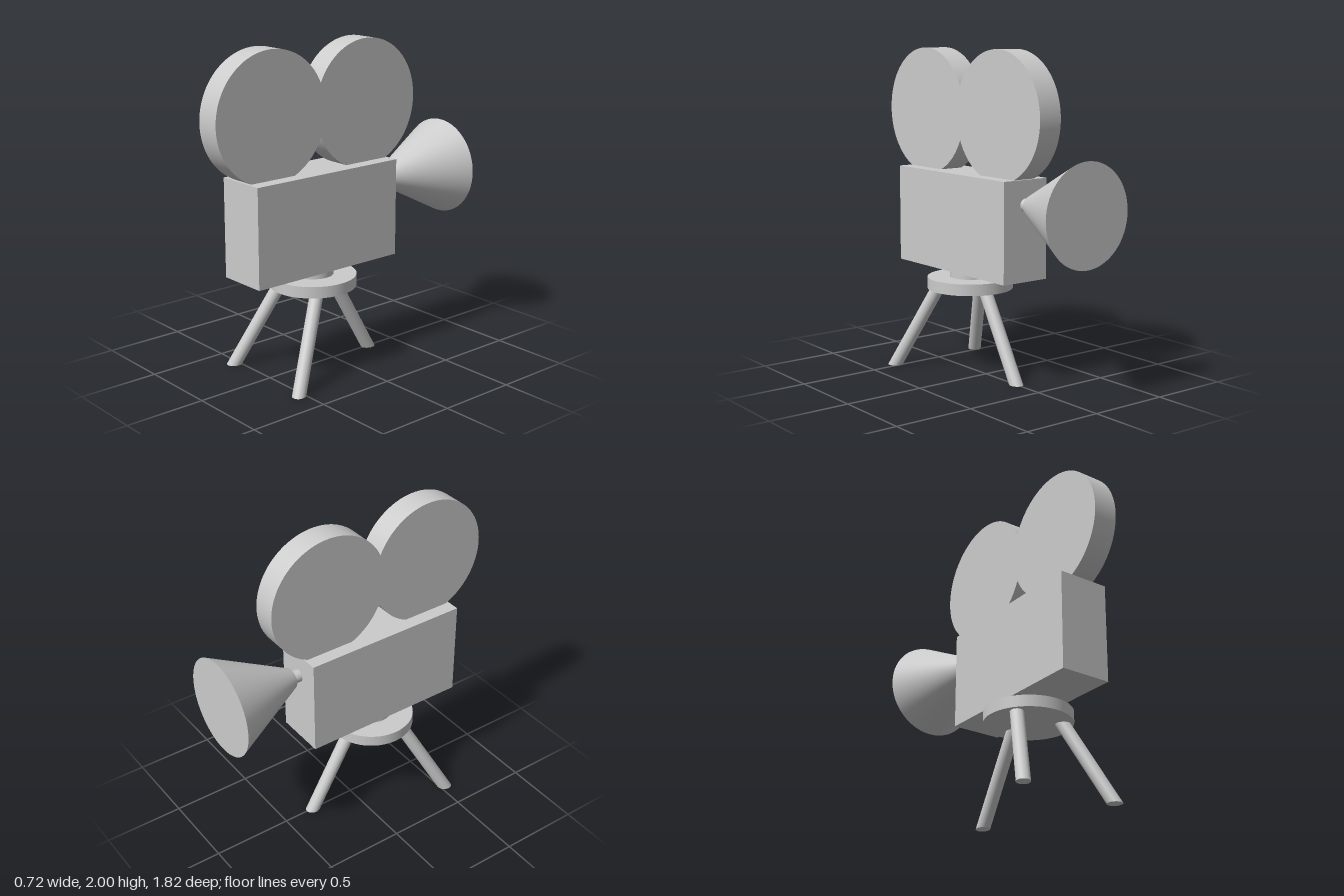
import * as THREE from 'three';
import { toCreasedNormals } from 'three/addons/utils/BufferGeometryUtils.js';

const CENTER_Z = 0.16; // tripod and body axis

export function createModel() {
  const model = new THREE.Group();
  model.name = 'movieCamera';
  const material = new THREE.MeshStandardMaterial({ color: 0xcccccc });

  const add = (name, geometry, x, y, z) => {
    const mesh = new THREE.Mesh(geometry, material);
    mesh.name = name;
    mesh.position.set(x, y, z);
    model.add(mesh);
    return mesh;
  };

  // Body box
  add('body', new THREE.BoxGeometry(0.322, 0.607, 1.066), 0, 0.9455, CENTER_Z - 0.001);

  // Film magazine: two overlapping reels as a single outline
  const r = 0.392, d = 0.357, a = Math.acos(d / r);
  const outline = new THREE.Shape();
  outline.absarc(d, 0, r, a - Math.PI, Math.PI - a, false);
  outline.absarc(-d, 0, r, a, 2 * Math.PI - a, false);
  const reels = new THREE.ExtrudeGeometry(outline, { depth: 0.154, bevelEnabled: false, curveSegments: 64 });
  reels.translate(0, 0, -0.077);
  reels.rotateY(-Math.PI / 2);
  add('filmReels', toCreasedNormals(reels, 0.5), 0, 1.608, CENTER_Z - 0.002);

  // Lens: short barrel and flared hood at the back end
  const lensPart = (name, rNear, rFar, zNear, zFar) => {
    const geometry = new THREE.CylinderGeometry(rNear, rFar, zNear - zFar, 64);
    geometry.rotateX(Math.PI / 2);
    add(name, geometry, 0, 1.1, (zNear + zFar) / 2);
  };
  lensPart('lensBarrel', 0.039, 0.039, -0.36, -0.43);
  lensPart('lensHood', 0.061, 0.304, -0.424, -0.909);

  // Tripod head
  add('tripodNeck', new THREE.CylinderGeometry(0.126, 0.126, 0.055, 64), 0, 0.616, CENTER_Z);
  add('tripodPlate', new THREE.CylinderGeometry(0.266, 0.266, 0.071, 64), 0, 0.5585, CENTER_Z);

  // Tripod legs: sheared cylinders, so that the feet are cut level with the floor
  const legHeight = 0.54, slope = Math.tan(Math.PI / 6);
  const addLeg = (name, angle, footX, footZ) => {
    const geometry = new THREE.CylinderGeometry(0.041, 0.041, legHeight, 32);
    geometry.translate(0, legHeight / 2, 0);
    geometry.applyMatrix4(new THREE.Matrix4().set(
      1, 0, 0, 0,
      0, 1, 0, 0,
      0, -slope, 1 / Math.cos(Math.PI / 6), 0,
      0, 0, 0, 1));
    add(name, geometry, footX, 0, footZ).rotation.y = angle;
  };
  addLeg('leftLeg', Math.PI / 6, 0.317, 0.533);
  addLeg('rightLeg', -Math.PI / 6, -0.317, 0.533);
  addLeg('backLeg', Math.PI, 0, -0.295);

  return model;
}
